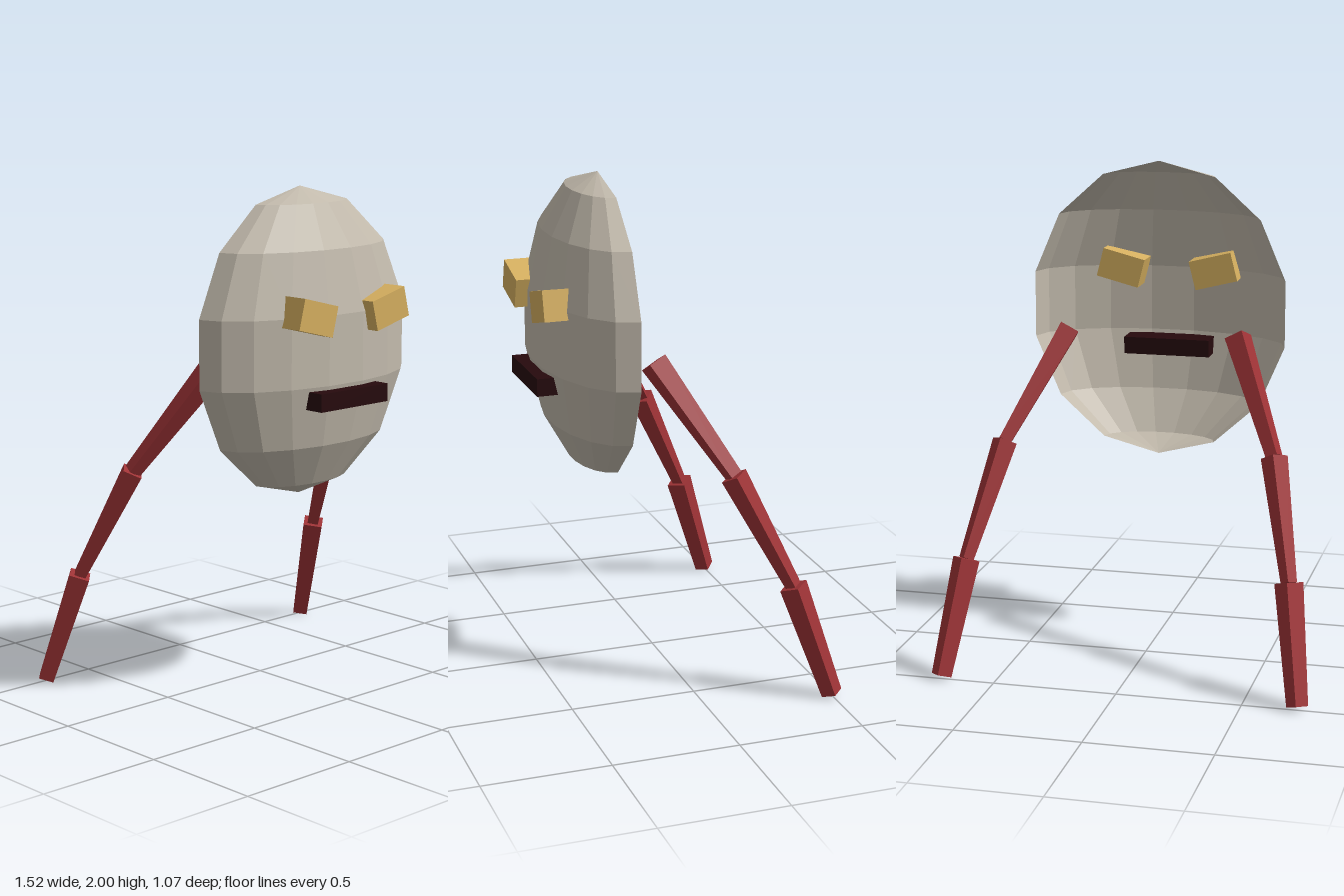
import * as THREE from 'three';

const bone = new THREE.MeshStandardMaterial({ color: 0xc2baac, flatShading: true, side: THREE.DoubleSide });
bone.name = 'bone';
const gold = new THREE.MeshStandardMaterial({ color: 0xd6b060, flatShading: true });
gold.name = 'gold';
const red = new THREE.MeshStandardMaterial({ color: 0x9e3336, flatShading: true });
red.name = 'red';
const dark = new THREE.MeshStandardMaterial({ color: 0x260a0d, flatShading: true });
dark.name = 'dark maroon';

function part(name, geometry, material, x = 0, y = 0, z = 0) {
  const mesh = new THREE.Mesh(geometry, material);
  mesh.name = name;
  mesh.position.set(x, y, z);
  return mesh;
}

// Tapered square bar between two points, given the side length at each end
function bar(name, from, to, sideFrom, sideTo) {
  const axis = new THREE.Vector3().subVectors(to, from);
  const geometry = new THREE.CylinderGeometry(sideTo * Math.SQRT1_2, sideFrom * Math.SQRT1_2, axis.length(), 4);
  geometry.rotateY(Math.PI / 4);
  const mesh = part(name, geometry, red);
  mesh.position.addVectors(from, to).multiplyScalar(0.5);
  mesh.quaternion.setFromUnitVectors(new THREE.Vector3(0, 1, 0), axis.normalize());
  return mesh;
}

export function createModel() {
  const model = new THREE.Group();
  model.name = 'maskOnLegs';

  // Hollow faceted face, open at the back
  const shell = new THREE.SphereGeometry(1, 9, 7, 0, Math.PI);
  shell.scale(0.535, 0.605, 0.27);
  model.add(part('faceShell', shell, bone, 0, 1.395, 0.222));

  // Mouth block, passing through the shell
  model.add(part('mouth', new THREE.BoxGeometry(0.36, 0.07, 0.17), dark, 0, 1.21, 0.443));

  for (const side of [1, -1]) {
    const label = side > 0 ? 'left' : 'right';

    // Slanted eye block
    const eye = part(label + 'Eye', new THREE.BoxGeometry(0.18, 0.12, 0.17), gold, side * 0.195, 1.535, 0.443);
    eye.rotation.z = side * 0.25;
    model.add(eye);

    // Leg of three tapered segments, trailing outwards and backwards
    const leg = new THREE.Group();
    leg.name = label + 'Leg';
    const joints = [[0.35, 1.32, 0.115], [0.55, 0.9, -0.14], [0.652, 0.46, -0.352], [0.717, 0.014, -0.497]]
      .map(([x, y, z]) => new THREE.Vector3(side * x, y, z));
    const names = ['upperLeg', 'middleLeg', 'lowerLeg'];
    const tapers = [[0.08, 0.05], [0.075, 0.045], [0.08, 0.06]];
    names.forEach((name, i) => leg.add(bar(name, joints[i], joints[i + 1], ...tapers[i])));
    model.add(leg);
  }
  return model;
}
